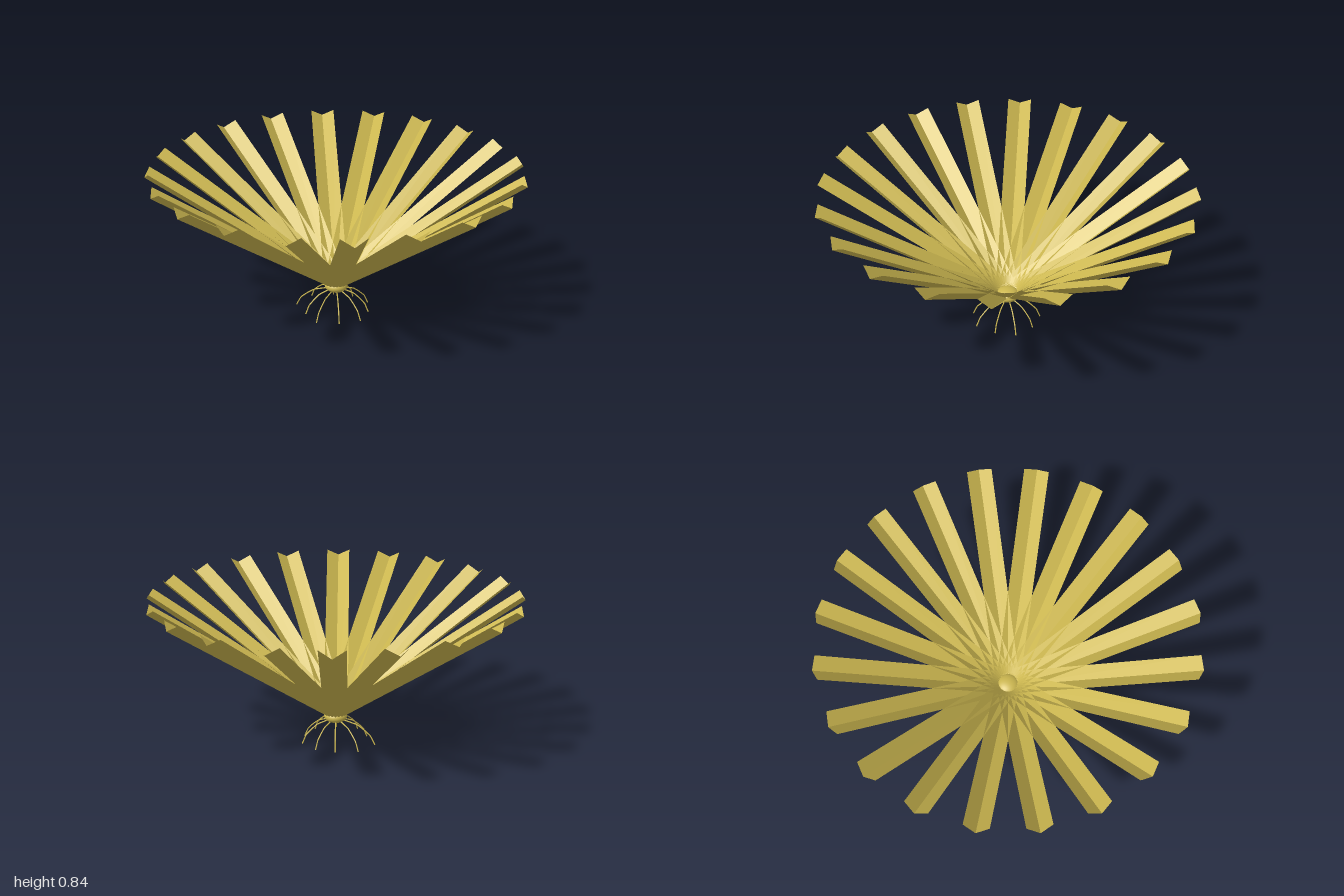
import * as THREE from 'three';

const gold = new THREE.MeshStandardMaterial({ color: 0xcdb850, side: THREE.DoubleSide });
gold.name = 'pale gold';

// V-folded strip pointing to +z: a low keel with two raised edges
function bladeGeometry() {
  const w = 0.066, inner = [0.055, 0.155], outer = [1, 0.803];
  const lift = 0.036, back = 0.025;
  const keelIn = [0, inner[1], inner[0]], keelOut = [0, outer[1], outer[0]];
  const pos = [];
  for (const s of [-1, 1]) {
    const edgeIn = [s * w, inner[1] + lift, inner[0] - back];
    const edgeOut = [s * w, outer[1] + lift, outer[0] - back];
    const quad = s > 0
      ? [keelIn, keelOut, edgeOut, keelIn, edgeOut, edgeIn]
      : [keelIn, edgeOut, keelOut, keelIn, edgeIn, edgeOut];
    pos.push(...quad.flat());
  }
  const geo = new THREE.BufferGeometry();
  geo.setAttribute('position', new THREE.Float32BufferAttribute(pos, 3));
  geo.computeVertexNormals();
  return geo;
}

// Thin root that arches out from the hub and drops to the ground
function rootGeometry(reach) {
  const path = new THREE.CurvePath();
  const pts = [[0.03, 0.13], [0.55 * reach, 0.108], [0.72 * reach, 0.083], [0.89 * reach, 0.052], [reach, 0.004]]
    .map(([r, y]) => new THREE.Vector3(0, y, r));
  for (let i = 1; i < pts.length; i++) path.add(new THREE.LineCurve3(pts[i - 1], pts[i]));
  return new THREE.TubeGeometry(path, 16, 0.0035, 6);
}

export function createModel() {
  const model = new THREE.Group();
  const add = (geo, name, angle = 0) => {
    const mesh = new THREE.Mesh(geo, gold);
    mesh.name = name;
    mesh.rotation.y = angle;
    model.add(mesh);
    return mesh;
  };

  // Ring of folded blades
  const blade = bladeGeometry();
  for (let i = 0; i < 20; i++) add(blade, 'blade', (i * Math.PI) / 10);

  // Flattened hub
  const hub = add(new THREE.SphereGeometry(0.063, 32, 20), 'hub');
  hub.scale.y = 0.58;
  hub.position.y = 0.146;

  // Roots of uneven reach
  const reaches = [0.205, 0.19, 0.2, 0.18, 0.19, 0.18, 0.18, 0.21, 0.225, 0.18];
  reaches.forEach((r, i) => add(rootGeometry(r), 'root', (i * Math.PI) / 5));

  return model;
}
